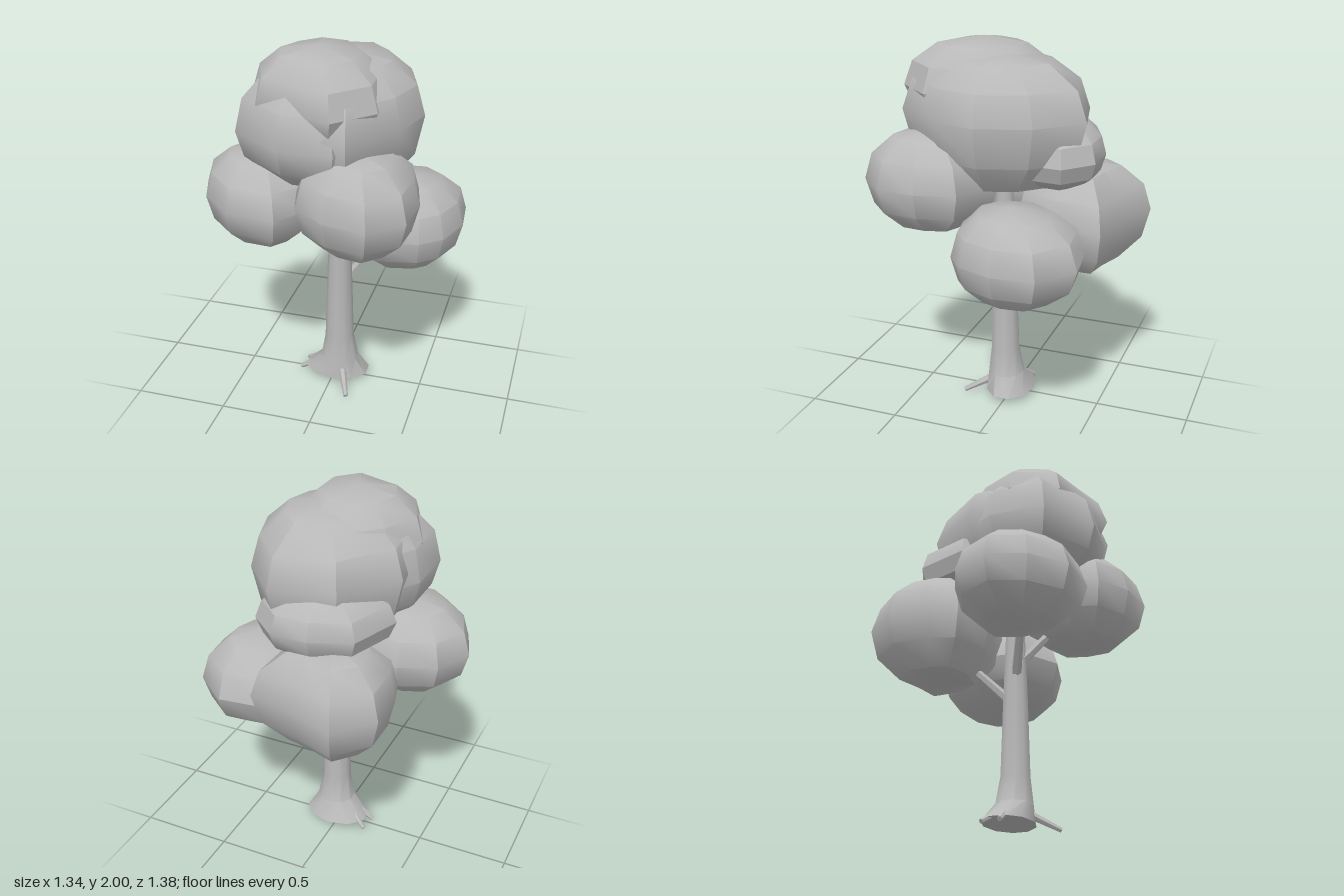
import * as THREE from 'three';
import { toCreasedNormals } from 'three/addons/utils/BufferGeometryUtils.js';

const grey = new THREE.MeshStandardMaterial({ color: 0xb8b8b8 });
grey.name = 'plain grey';

function addMesh(group, name, geometry) {
  const mesh = new THREE.Mesh(geometry, grey);
  mesh.name = name;
  group.add(mesh);
}

// Faceted ball lofted from its widest outline ([x, z] points, clockwise from above).
// It closes to a point at the bottom and top; a lower fullness is boxier.
function leafClump({ bottom, middle, top, fullness, outline }) {
  const n = outline.length;
  const cx = outline.reduce((sum, p) => sum + p[0], 0) / n;
  const cz = outline.reduce((sum, p) => sum + p[1], 0) / n;
  const bands = 6;
  const point = (k, j) => {
    const angle = (k / bands - 0.5) * Math.PI;
    const scale = k % bands === 0 ? 0 : Math.cos(angle) ** fullness;
    const rise = Math.sin(angle) * (k < bands / 2 ? middle - bottom : top - middle);
    const [x, z] = outline[j % n];
    return [cx + (x - cx) * scale, middle + rise, cz + (z - cz) * scale];
  };
  const verts = [];
  for (let k = 0; k < bands; k++) {
    for (let j = 0; j < n; j++) {
      const a = point(k, j), b = point(k + 1, j), c = point(k + 1, j + 1), d = point(k, j + 1);
      if (k < bands - 1) verts.push(...a, ...b, ...c);
      if (k > 0) verts.push(...a, ...c, ...d);
    }
  }
  const geo = new THREE.BufferGeometry();
  geo.setAttribute('position', new THREE.Float32BufferAttribute(verts, 3));
  return toCreasedNormals(geo, 0.6);
}

// Ten-sided trunk; each ring is [y, centre x, centre z, radius x, radius z]
function trunkGeometry() {
  const rings = [
    [0.04, 0.015, 0.0, 0.185, 0.135],
    [0.14, 0.035, 0.025, 0.105, 0.1],
    [0.28, 0.035, 0.03, 0.08, 0.08],
    [0.7, 0.035, 0.032, 0.067, 0.068],
    [1.0, 0.037, 0.032, 0.055, 0.057],
    [1.4, 0.037, 0.032, 0.04, 0.04],
  ];
  const last = rings.length - 1;
  const geo = new THREE.CylinderGeometry(1, 1, 1, 10, last);
  const pos = geo.attributes.position;
  for (let i = 0; i < pos.count; i++) {
    const [y, cx, cz, rx, rz] = rings[Math.round((pos.getY(i) + 0.5) * last)];
    pos.setXYZ(i, cx + pos.getX(i) * rx, y, cz + pos.getZ(i) * rz);
  }
  return toCreasedNormals(geo, 0.65);
}

// Tapered stick between two points
function stick(from, to, r0, r1) {
  const a = new THREE.Vector3(...from);
  const b = new THREE.Vector3(...to);
  const dir = b.clone().sub(a);
  const geo = new THREE.CylinderGeometry(r1, r0, dir.length(), 6);
  geo.applyQuaternion(new THREE.Quaternion().setFromUnitVectors(
    new THREE.Vector3(0, 1, 0), dir.normalize()));
  a.add(b).multiplyScalar(0.5);
  geo.translate(a.x, a.y, a.z);
  return toCreasedNormals(geo, 0.7);
}

// Foliage: four lower clumps, then the crown
const clumps = {
  rightClump: {
    bottom: 0.93, middle: 1.19, top: 1.44, fullness: 0.85,
    outline: [[-0.67, 0.12], [-0.57, -0.07], [-0.38, -0.15], [-0.12, -0.12], [-0.03, 0.12],
      [-0.06, 0.36], [-0.17, 0.5], [-0.43, 0.48], [-0.6, 0.32]],
  },
  frontClump: {
    bottom: 1.02, middle: 1.29, top: 1.56, fullness: 0.85,
    outline: [[-0.1, 0.35], [-0.06, 0.1], [0.2, 0.0], [0.47, 0.12], [0.52, 0.33],
      [0.5, 0.54], [0.34, 0.69], [0.12, 0.65], [-0.05, 0.53]],
  },
  leftClump: {
    bottom: 0.73, middle: 0.98, top: 1.24, fullness: 0.85,
    outline: [[0.02, -0.22], [0.2, -0.47], [0.46, -0.5], [0.65, -0.35], [0.67, -0.13],
      [0.6, 0.06], [0.49, 0.15], [0.25, 0.2], [0.05, 0.07]],
  },
  backClump: {
    bottom: 0.77, middle: 1.09, top: 1.37, fullness: 0.85,
    outline: [[-0.43, -0.28], [-0.43, -0.5], [-0.26, -0.69], [0.0, -0.6], [0.24, -0.55],
      [0.23, -0.28], [0.1, -0.06], [-0.18, -0.03], [-0.38, -0.13]],
  },
  crownBackClump: {
    bottom: 1.26, middle: 1.43, top: 1.62, fullness: 0.75,
    outline: [[-0.36, -0.12], [-0.26, -0.4], [-0.05, -0.49], [0.15, -0.49], [0.3, -0.36],
      [0.28, -0.1], [0.0, 0.04], [-0.25, 0.0]],
  },
  crownMainClump: {
    bottom: 1.22, middle: 1.64, top: 1.95, fullness: 0.8,
    outline: [[-0.37, -0.08], [-0.15, -0.37], [0.18, -0.45], [0.38, -0.24], [0.47, 0.03],
      [0.4, 0.27], [0.2, 0.53], [-0.12, 0.5], [-0.35, 0.27]],
  },
  crownFrontClump: {
    bottom: 1.31, middle: 1.58, top: 1.92, fullness: 0.75,
    outline: [[-0.41, 0.05], [-0.27, -0.18], [0.0, -0.28], [0.22, -0.05], [0.26, 0.28],
      [0.14, 0.53], [-0.13, 0.54], [-0.41, 0.35]],
  },
  crownTopClump: {
    bottom: 1.55, middle: 1.75, top: 2.0, fullness: 0.8,
    outline: [[-0.38, 0.15], [-0.28, -0.06], [-0.12, -0.22], [0.12, -0.19], [0.3, 0.05],
      [0.31, 0.36], [0.13, 0.55], [-0.08, 0.47], [-0.28, 0.4]],
  },
};

export function createModel() {
  const tree = new THREE.Group();
  tree.name = 'tree';

  addMesh(tree, 'trunk', trunkGeometry());

  // Small roots poking out of the flared foot
  const roots = [
    [[0.07, 0.09, 0.1], [0.13, 0.015, 0.24]],
    [[-0.06, 0.1, 0.03], [-0.195, 0.013, 0.03]],
    [[-0.05, 0.1, -0.01], [-0.18, 0.013, -0.07]],
  ];
  roots.forEach(([a, b], i) => addMesh(tree, 'root' + (i + 1), stick(a, b, 0.022, 0.013)));

  // Branches reaching into the lower clumps
  const branches = [
    [[0.06, 0.63, 0.0], [0.2, 0.82, -0.03]],
    [[0.0, 0.84, 0.05], [-0.2, 1.1, 0.15]],
    [[0.04, 0.92, 0.06], [0.13, 1.15, 0.25]],
    [[0.02, 0.7, 0.0], [-0.08, 0.95, -0.25]],
  ];
  branches.forEach(([a, b], i) => addMesh(tree, 'branch' + (i + 1), stick(a, b, 0.028, 0.02)));

  for (const [name, clump] of Object.entries(clumps)) addMesh(tree, name, leafClump(clump));

  return tree;
}
